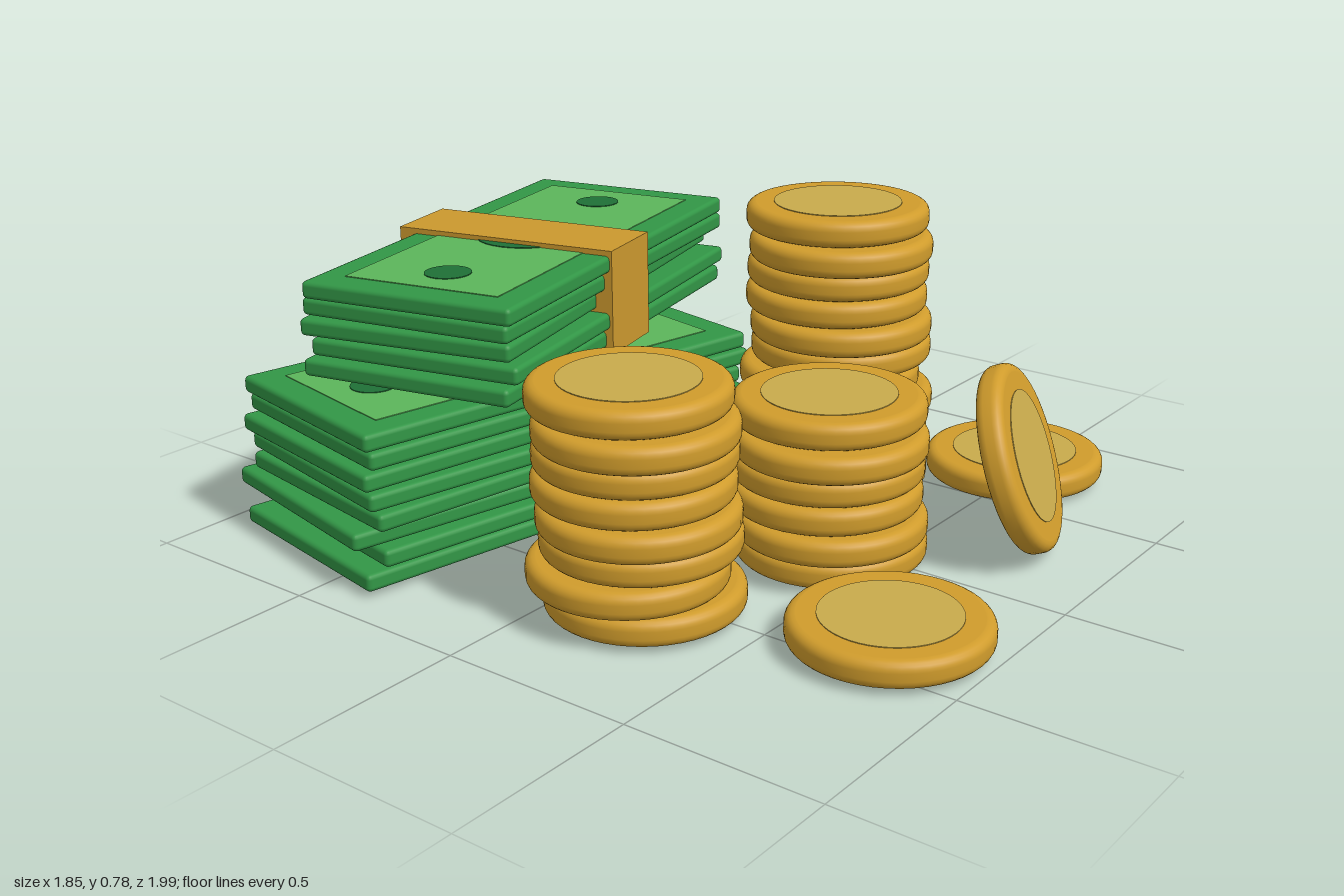
import * as THREE from 'three';
import { RoundedBoxGeometry } from 'three/addons/geometries/RoundedBoxGeometry.js';

const material = (name, color) => {
  const m = new THREE.MeshStandardMaterial({ color });
  m.name = name;
  return m;
};

export function createModel() {
  const root = new THREE.Group();
  root.name = 'moneyPile';
  const gold = material('gold', 0xd09c2c);
  const coinFaceGold = material('coinFaceGold', 0xc9ab4c);
  const bandGold = material('bandGold', 0xcb982e);
  const green = material('billGreen', 0x329646);
  const lightGreen = material('panelGreen', 0x5cb55a);
  const darkGreen = material('inkGreen', 0x1f7036);

  const add = (parent, name, geometry, mat, x = 0, y = 0, z = 0) => {
    const mesh = new THREE.Mesh(geometry, mat);
    mesh.name = name;
    mesh.position.set(x, y, z);
    parent.add(mesh);
    return mesh;
  };

  // Coin: disc with a rounded rim and a slightly raised face on both sides
  const R = 0.239, H = 0.034, B = 0.024;
  const profile = [new THREE.Vector2(0, -H), new THREE.Vector2(R - B - 0.002, -H)];
  for (const side of [-1, 1]) {
    for (let i = 0; i <= 5; i++) {
      const a = (side < 0 ? -1 + i / 5 : i / 5) * Math.PI / 2;
      profile.push(new THREE.Vector2(R - B + B * Math.cos(a), side * (H - B) + B * Math.sin(a)));
    }
  }
  profile.push(new THREE.Vector2(R - B - 0.002, H), new THREE.Vector2(0, H));
  const coinGeometry = new THREE.LatheGeometry(profile, 48);
  const faceGeometry = new THREE.CylinderGeometry(0.167, 0.167, 0.004, 48);

  const coin = (parent, name, x, y, z) => {
    const g = new THREE.Group();
    g.name = name;
    g.position.set(x, y, z);
    add(g, 'coinBody', coinGeometry, gold);
    add(g, 'coinTopFace', faceGeometry, coinFaceGold, 0, H, 0);
    add(g, 'coinBottomFace', faceGeometry, coinFaceGold, 0, -H, 0);
    parent.add(g);
    return g;
  };

  // Coin stacks: the top coin sits at (x, z), the ones below wander a little
  const coinStack = (name, x, z, count, driftX, driftZ) => {
    const g = new THREE.Group();
    g.name = name;
    for (let i = 0; i < count; i++) {
      const k = count - 1 - i;
      const dx = k ? driftX + 0.018 * Math.cos(k * 2.6) : 0;
      const dz = k ? driftZ + 0.015 * Math.sin(k * 1.9) : 0;
      coin(g, 'stackedCoin', x + dx, 0.05 + i * 0.07, z + dz);
    }
    root.add(g);
  };
  coinStack('rightCoinStack', -0.57, 0.17, 8, 0.0, 0.018);
  coinStack('middleCoinStack', -0.055, 0.37, 6, -0.016, 0.012);
  coinStack('leftCoinStack', 0.37, 0.105, 11, -0.01, 0.015);

  // Loose coins, one leaning back
  coin(root, 'looseCoinRight', -0.375, 0.05, 0.755);
  coin(root, 'looseCoinLeft', 0.69, 0.05, 0.49);
  coin(root, 'leaningCoin', 0.263, 0.245, 0.728).quaternion.setFromUnitVectors(
    new THREE.Vector3(0, 1, 0), new THREE.Vector3(0.29, 0.34, 0.895).normalize());

  // Banknote bundles: each note is [x, z, turn], listed from bottom to top
  const T = 0.044, PITCH = 0.05;
  const noteGeometry = new RoundedBoxGeometry(1.185, T, 0.575, 2, 0.012);

  const bundle = (name, base, notes, band) => {
    const g = new THREE.Group();
    g.name = name;
    notes.forEach(([x, z, turn], i) => {
      const note = new THREE.Group();
      note.name = 'banknote';
      note.position.set(x, base + 0.018 + T / 2 + i * PITCH, z);
      note.rotation.y = turn;
      add(note, 'noteBody', noteGeometry, green);
      if (i === notes.length - 1) {
        // Printed panel and ink circles
        add(note, 'notePanel', new THREE.BoxGeometry(1.03, 0.004, 0.425), lightGreen, 0, T / 2, 0);
        for (const [cx, r] of [[-0.39, 0.058], [0, 0.135], [0.39, 0.058]]) {
          add(note, 'noteCircle', new THREE.CylinderGeometry(r, r, 0.004, 32), darkGreen, cx, T / 2 + 0.002, 0);
        }
      }
      g.add(note);
    });
    // Paper band wrapped around the bundle
    const height = notes.length * PITCH + 0.023;
    add(g, 'paperBand', new THREE.BoxGeometry(0.21, height, 0.62), bandGold,
      band[0], base + 0.003 + height / 2, band[1]).rotation.y = band[2];
    root.add(g);
  };

  bundle('lowerBundle', 0, [
    [-0.28, -0.52, -0.19], [-0.23, -0.5, -0.2], [-0.285, -0.53, -0.22], [-0.255, -0.51, -0.17],
    [-0.26, -0.5, -0.21], [-0.27, -0.52, -0.19], [-0.25, -0.51, -0.2], [-0.265, -0.51, -0.2],
  ], [-0.24, -0.502, -0.2]);

  bundle('upperBundle', 0.437, [
    [-0.14, -0.535, 0.22], [-0.12, -0.53, 0.23], [-0.13, -0.57, 0.26],
    [-0.125, -0.54, 0.215], [-0.142, -0.522, 0.225],
  ], [-0.14, -0.54, 0.235]);

  return root;
}
